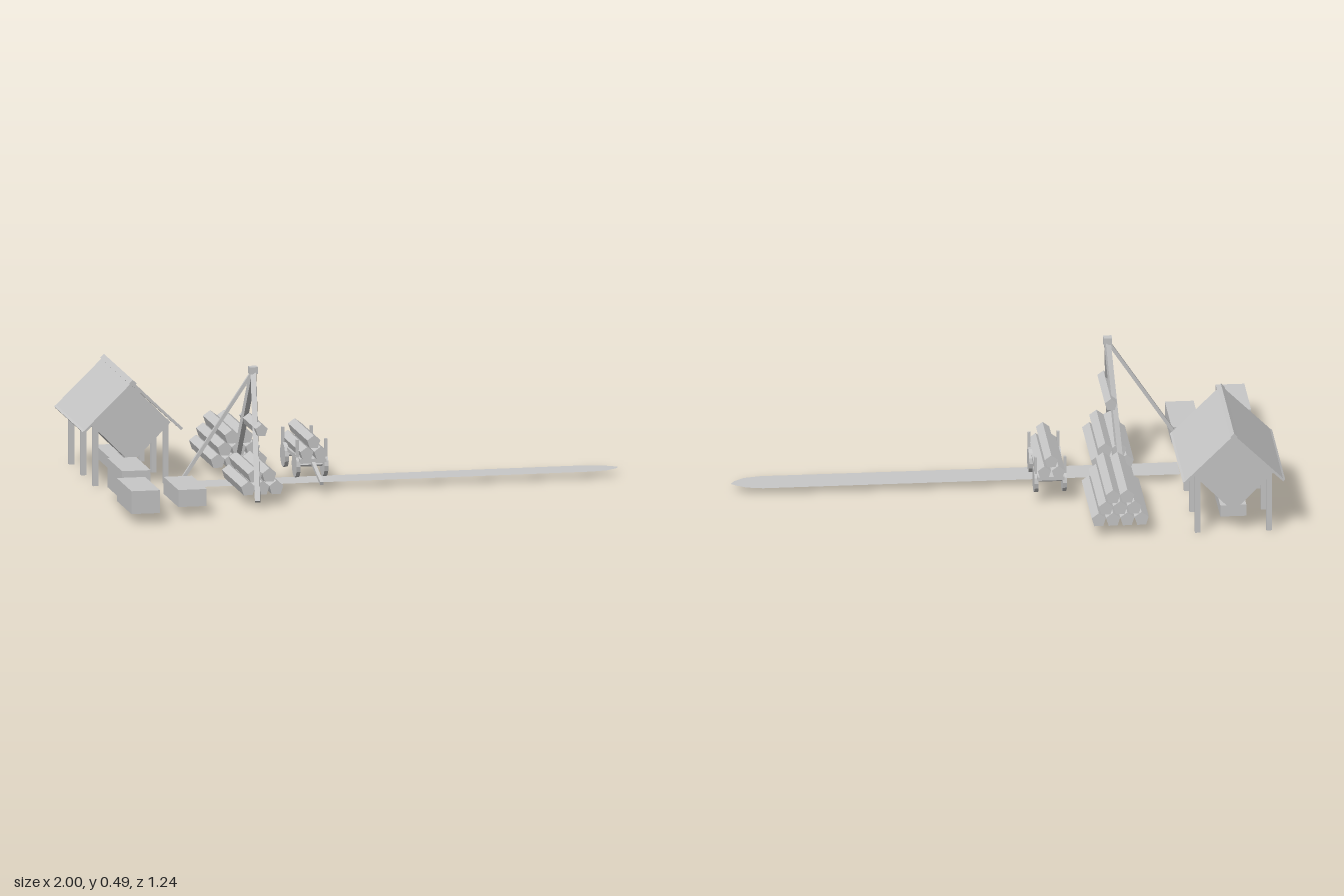
import * as THREE from 'three';

export function createModel() {
  const root = new THREE.Group();
  root.name = 'loggingCamp';
  const grey = new THREE.MeshStandardMaterial({ color: 0xc8c8c8, flatShading: true, side: THREE.DoubleSide });
  grey.name = 'plain grey';

  const add = (parent, name, geo) => {
    const mesh = new THREE.Mesh(geo, grey);
    mesh.name = name;
    parent.add(mesh);
    return mesh;
  };
  const section = (name) => {
    const g = new THREE.Group();
    g.name = name;
    root.add(g);
    return g;
  };
  // box given by its limits on each axis
  const box = (parent, name, x0, x1, y0, y1, z0, z1) => {
    const m = add(parent, name, new THREE.BoxGeometry(x1 - x0, y1 - y0, z1 - z0));
    m.position.set((x0 + x1) / 2, (y0 + y1) / 2, (z0 + z1) / 2);
    return m;
  };
  // stretch a unit-tall part between two points
  const span = (parent, name, a, b, geo) => {
    const p = new THREE.Vector3(...a), q = new THREE.Vector3(...b);
    const d = q.clone().sub(p);
    const m = add(parent, name, geo.scale(1, d.length(), 1));
    m.position.copy(p).add(q).multiplyScalar(0.5);
    m.quaternion.setFromUnitVectors(new THREE.Vector3(0, 1, 0), d.normalize());
    return m;
  };
  const beam = (parent, name, a, b, w) => span(parent, name, a, b, new THREE.BoxGeometry(w, 1, w));
  const rod = (parent, name, a, b, r, sides) => span(parent, name, a, b, new THREE.CylinderGeometry(r, r, 1, sides));
  // five-sided log lying along z, one corner up
  const log = (parent, x, y, z0, z1, r) => {
    const geo = new THREE.CylinderGeometry(r, r, z1 - z0, 5).rotateX(-Math.PI / 2);
    add(parent, 'log', geo).position.set(x, y, (z0 + z1) / 2);
  };
  const logPile = (parent, rows, x, y, step, rise, z0, z1, r) => {
    rows.forEach((count, row) => {
      for (let i = 0; i < count; i++) log(parent, x + (i - (count - 1) / 2) * step, y + row * rise, z0, z1, r);
    });
  };
  // closed outline in x/y extruded from z0 to z1
  const prism = (parent, name, pts, z0, z1) => {
    const shape = new THREE.Shape(pts.map(([x, y]) => new THREE.Vector2(x, y)));
    const geo = new THREE.ExtrudeGeometry(shape, { depth: z1 - z0, bevelEnabled: false });
    return add(parent, name, geo.translate(0, 0, z0));
  };

  // flat track with a rounded tip
  const track = new THREE.Shape([
    [-0.665, -0.088], [0.885, -0.088], [0.945, -0.075], [0.985, -0.045], [1, -0.018],
    [0.985, -0.002], [0.945, 0.025], [0.885, 0.038], [-0.665, 0.038],
  ].map(([x, y]) => new THREE.Vector2(x, y)));
  add(root, 'track', new THREE.ShapeGeometry(track).rotateX(-Math.PI / 2)).position.y = 0.024;

  // shed: roof, loft block, ridge, posts, trough and saw disc
  const shed = section('shed');
  const cx = -0.81;
  prism(shed, 'roof', [
    [cx, 0.394], [cx + 0.182, 0.217], [cx + 0.19, 0.212], [cx + 0.183, 0.204],
    [cx, 0.378], [cx - 0.183, 0.204], [cx - 0.19, 0.212], [cx - 0.182, 0.217],
  ], -0.618, -0.1);
  prism(shed, 'loft', [[cx, 0.379], [cx + 0.148, 0.23], [cx, 0.081], [cx - 0.148, 0.23]], -0.59, -0.125);
  prism(shed, 'ridgeBeam', [[cx, 0.401], [cx + 0.014, 0.387], [cx, 0.373], [cx - 0.014, 0.387]], -0.62, -0.097);
  for (const x of [-0.943, -0.678])
    for (const z of [-0.14, -0.358, -0.575]) beam(shed, 'post', [x, 0, z], [x, 0.24, z], 0.02);
  box(shed, 'trough', cx - 0.055, cx + 0.042, 0.036, 0.08, -0.52, -0.22);
  const saw = add(shed, 'sawDisc', new THREE.CylinderGeometry(0.08, 0.08, 0.008, 12).rotateZ(Math.PI / 2));
  saw.position.set(cx, 0.105, -0.28);

  // storage boxes
  const crates = section('crates');
  box(crates, 'crate', -0.965, -0.858, 0.036, 0.122, 0.352, 0.618);
  box(crates, 'crate', -0.943, -0.835, 0.036, 0.145, 0.078, 0.343);
  box(crates, 'crate', -0.767, -0.66, 0.036, 0.1, 0.252, 0.518);

  // stacked logs
  logPile(section('largeLogPile'), [4, 3, 2], -0.39, 0.062, 0.053, 0.045, -0.585, -0.19, 0.028);
  logPile(section('smallLogPile'), [3, 2], -0.417, 0.062, 0.053, 0.048, 0.01, 0.36, 0.028);

  // tripod hoist
  const hoist = section('hoist');
  const apex = [-0.415, 0.475, 0.19];
  for (const z of [0.417, -0.037]) beam(hoist, 'leg', apex, [-0.446, 0.024, z], 0.02);
  beam(hoist, 'strut', apex, [-0.715, 0.028, 0.187], 0.013);
  box(hoist, 'cap', -0.432, -0.4, 0.464, 0.49, 0.174, 0.206);
  log(hoist, -0.415, 0.276, 0.043, 0.34, 0.024);

  // cart loaded with logs
  const cart = section('cart');
  const mid = -0.165;
  box(cart, 'bed', mid - 0.05, mid + 0.05, 0.098, 0.112, -0.25, 0.08);
  logPile(cart, [2, 1], mid, 0.132, 0.052, 0.043, -0.26, 0.088, 0.026);
  for (const z of [0.02, -0.19]) {
    rod(cart, 'axle', [mid - 0.055, 0.08, z], [mid + 0.055, 0.08, z], 0.008, 6);
    box(cart, 'crossBeam', mid - 0.055, mid + 0.055, 0.085, 0.1, z - 0.01, z + 0.01);
    for (const s of [-1, 1]) rod(cart, 'wheel', [mid + s * 0.045, 0.08, z], [mid + s * 0.06, 0.08, z], 0.046, 14);
  }
  for (const z of [0.046, -0.215])
    for (const s of [-1, 1]) beam(cart, 'stake', [mid + s * 0.054, 0.09, z], [mid + s * 0.054, 0.18, z], 0.01);
  beam(cart, 'shaft', [mid, 0.102, 0.05], [mid, 0.048, 0.233], 0.013);

  return root;
}
